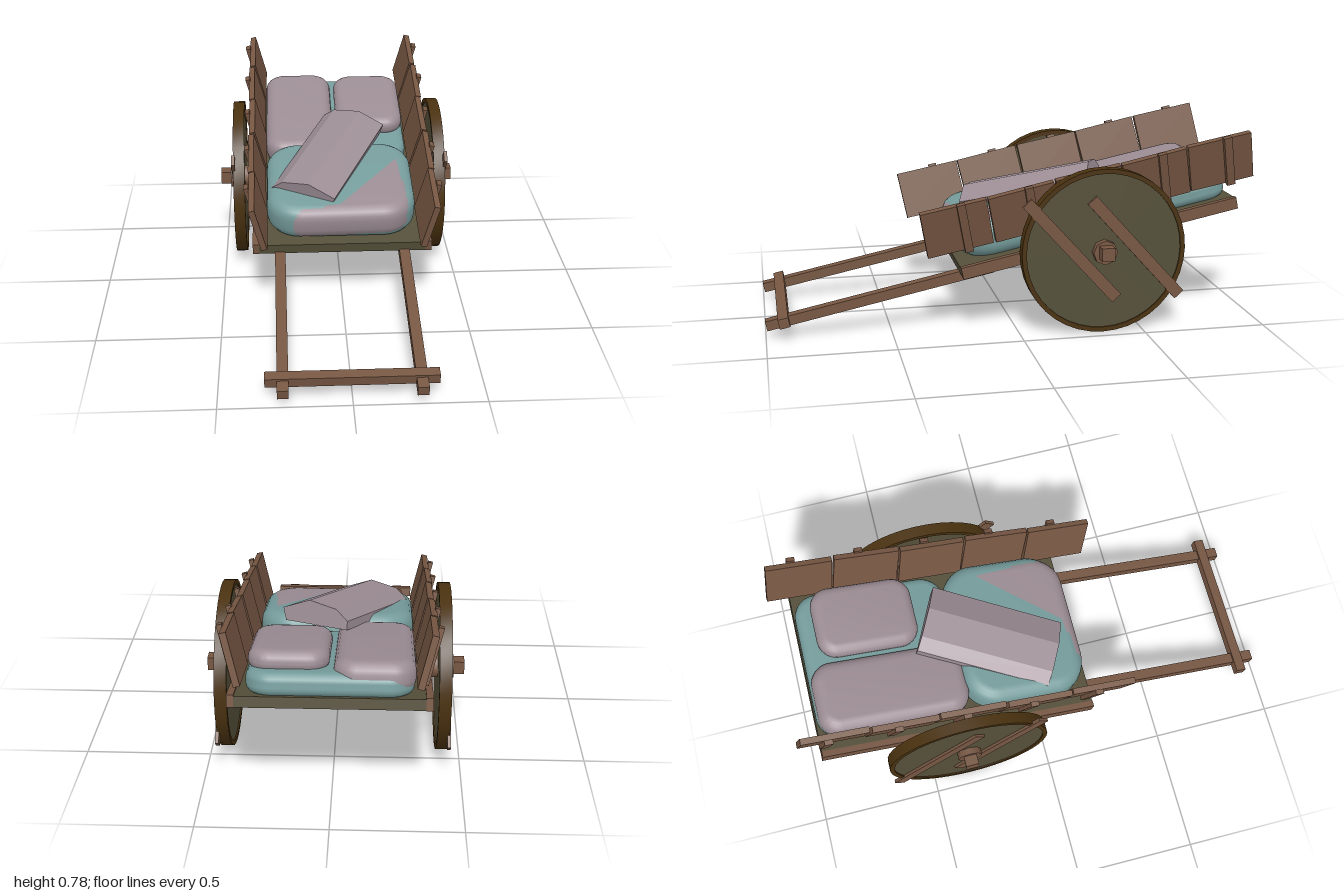
import * as THREE from 'three';
import { toCreasedNormals } from 'three/addons/utils/BufferGeometryUtils.js';

const paint = (name, color) => {
  const m = new THREE.MeshStandardMaterial({ color });
  m.name = name;
  return m;
};

export function createModel() {
  const wood = paint('brown wood', 0x775743);
  const olive = paint('olive boards', 0x55503a);
  const rimMat = paint('dark wheel rim', 0x4a3210);
  const mauve = paint('mauve sack', 0x9c8d94);
  const teal = paint('teal sack', 0x769c9c);

  const model = new THREE.Group();
  model.name = 'handCart';

  const add = (parent, name, geo, mat, x = 0, y = 0, z = 0) => {
    const m = new THREE.Mesh(geo, mat);
    m.name = name;
    m.position.set(x, y, z);
    parent.add(m);
    return m;
  };
  const box = (parent, name, mat, w, h, d, x, y, z) =>
    add(parent, name, new THREE.BoxGeometry(w, h, d), mat, x, y, z);

  // Everything turns about the axle; the body is pitched so the handles dip
  const axle = new THREE.Group();
  axle.name = 'axleGroup';
  axle.position.set(0, 0.335, -0.335);
  model.add(axle);
  const body = new THREE.Group();
  body.name = 'body';
  body.rotation.x = 0.205;
  axle.add(body);

  // Bed with side rails
  box(body, 'bed', olive, 0.69, 0.042, 1.165, 0, 0.029, -0.018);
  box(body, 'handleBar', wood, 0.65, 0.04, 0.042, 0, 0.003, 1.29);

  // Axle beam
  box(axle, 'axleBeam', wood, 1.03, 0.054, 0.054, 0, 0.003, 0);

  // Wheel profile shared by both sides: ring of rectangular section
  const rimGeo = toCreasedNormals(new THREE.LatheGeometry([
    [0.316, -0.024], [0.335, -0.024], [0.335, 0.024], [0.316, 0.024], [0.316, -0.024],
  ].map(([r, y]) => new THREE.Vector2(r, y)), 40).rotateZ(Math.PI / 2).toNonIndexed(), 0.6);
  const discGeo = new THREE.CylinderGeometry(0.32, 0.32, 0.036, 40).rotateZ(Math.PI / 2);
  const hubGeo = new THREE.CylinderGeometry(0.05, 0.05, 0.09, 8).rotateZ(Math.PI / 2);

  for (const s of [1, -1]) {
    const side = s > 0 ? 'left' : 'right';

    // Rail and handle
    box(body, side + 'Rail', wood, 0.026, 0.048, 1.165, s * 0.358, 0.031, -0.018);
    box(body, side + 'Handle', wood, 0.043, 0.04, 0.935, s * 0.258, -0.006, 0.895);

    // Wheel with two slanted braces on the outer face
    const wheel = new THREE.Group();
    wheel.name = side + 'Wheel';
    wheel.position.x = s * 0.427;
    axle.add(wheel);
    add(wheel, 'rim', rimGeo, rimMat);
    add(wheel, 'disc', discGeo, olive);
    add(wheel, 'hub', hubGeo, wood);
    for (const k of [1, -1]) {
      const brace = box(wheel, 'brace', wood, 0.014, 0.55, 0.048, s * 0.022, 0.008, k * 0.131);
      brace.rotation.x = 0.735;
    }

    // Outward-leaning side wall: five boards, each with a batten
    const wall = new THREE.Group();
    wall.name = side + 'Wall';
    wall.position.set(s * 0.345, 0.215, 0);
    wall.rotation.z = -s * 0.24;
    body.add(wall);
    for (let i = 0; i < 5; i++) {
      const z = -0.566 + i * 0.2775;
      const board = box(wall, 'wallBoard', wood, 0.025, 0.2, 0.27, (i % 2) * s * 0.004, 0, z);
      board.rotation.x = (i % 2 ? 1 : -1) * 0.012;
      box(wall, 'batten', wood, 0.02, 0.215, 0.034, s * 0.021, 0.002, z - 0.03);
    }
  }

  // Rounded sack: bevelled extrusion of a rounded rectangle
  const sack = (name, mat, x0, x1, y0, y1, z0, z1, r, b) => {
    const w = (x1 - x0) / 2 - b, d = (z1 - z0) / 2 - b;
    const shape = new THREE.Shape();
    shape.moveTo(w, d - r);
    shape.absarc(w - r, d - r, r, 0, Math.PI / 2);
    shape.absarc(r - w, d - r, r, Math.PI / 2, Math.PI);
    shape.absarc(r - w, r - d, r, Math.PI, Math.PI * 1.5);
    shape.absarc(w - r, r - d, r, Math.PI * 1.5, Math.PI * 2);
    const geo = new THREE.ExtrudeGeometry(shape, {
      depth: y1 - y0 - 2 * b, bevelThickness: b, bevelSize: b, bevelSegments: 4, curveSegments: 6,
    });
    geo.center().rotateX(-Math.PI / 2);
    return add(body, name, toCreasedNormals(geo, 0.7), mat,
      (x0 + x1) / 2, (y0 + y1) / 2, (z0 + z1) / 2);
  };

  // Front sack: teal with a mauve one pushing through at the front
  sack('frontSackTeal', teal, -0.31, 0.31, 0.045, 0.195, 0.015, 0.535, 0.09, 0.05);
  const patch = sack('frontSackMauve', mauve, -0.285, 0.3, 0.05, 0.193, 0.06, 0.54, 0.08, 0.05);
  patch.rotation.set(-0.012, 0, 0.015);

  // Rear sacks: a teal one below, two mauve ones on top
  sack('rearSackTeal', teal, -0.305, 0.31, 0.045, 0.135, -0.6, 0.03, 0.06, 0.035);
  sack('rearLeftSack', mauve, -0.31, -0.01, 0.06, 0.178, -0.595, 0.03, 0.04, 0.045);
  sack('rearRightSack', mauve, 0.005, 0.305, 0.115, 0.2, -0.54, -0.12, 0.04, 0.04);

  // Faceted bundle lying across the load
  const section = new THREE.Shape([
    [-0.14, 0], [0.13, 0], [0.145, 0.05], [0.03, 0.095], [-0.09, 0.075], [-0.14, 0.035],
  ].map(([x, y]) => new THREE.Vector2(x, y)));
  const bundleGeo = new THREE.ExtrudeGeometry(section, { depth: 0.56, bevelEnabled: false })
    .translate(0, 0, -0.28);
  const bundle = add(body, 'bundle', bundleGeo, mauve, -0.04, 0.172, 0.155);
  bundle.rotation.set(0.05, -0.44, 0.03, 'YXZ');

  return model;
}
